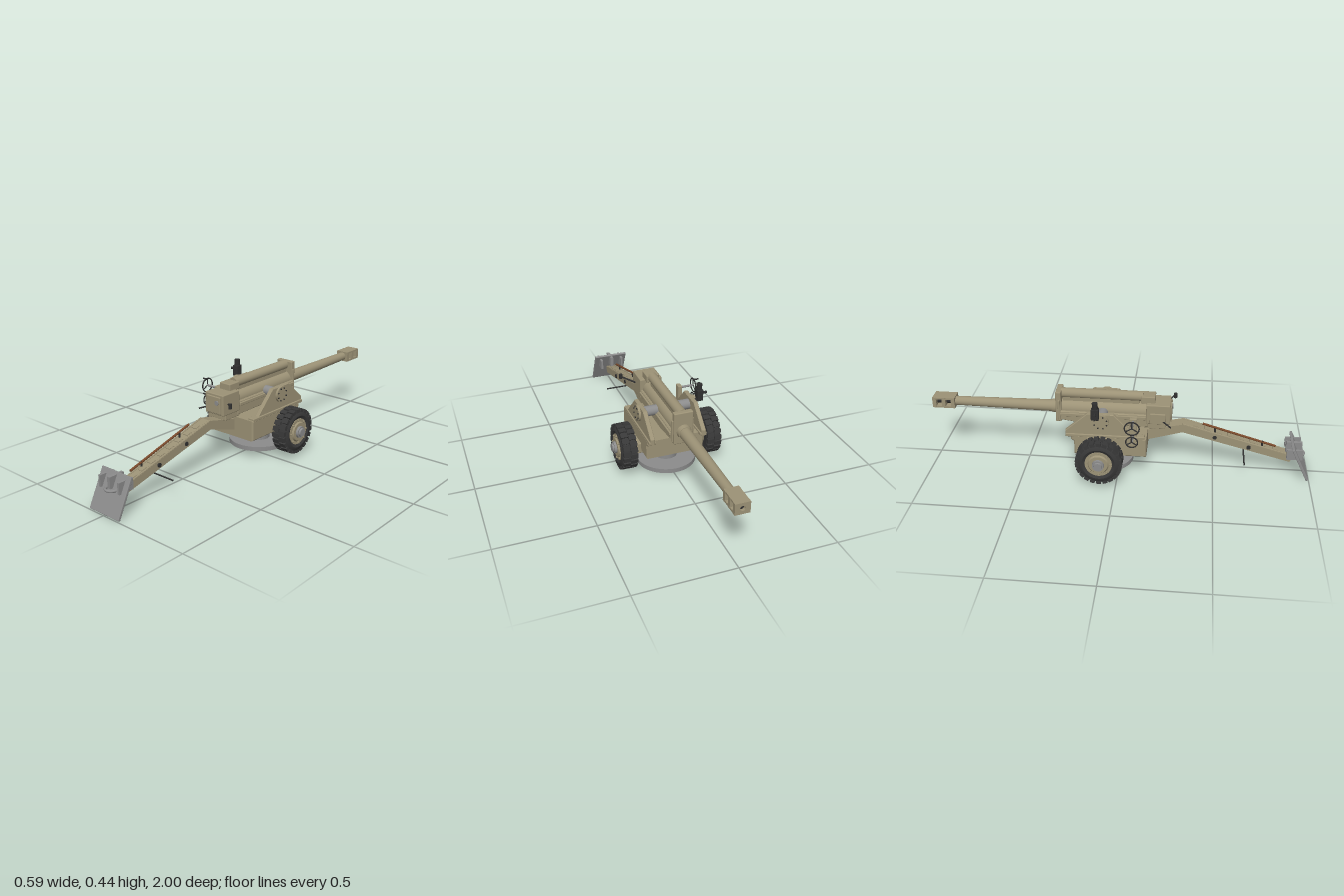
import * as THREE from 'three';
import { RoundedBoxGeometry } from 'three/addons/geometries/RoundedBoxGeometry.js';
import { toCreasedNormals } from 'three/addons/utils/BufferGeometryUtils.js';

const mat = (color) => new THREE.MeshStandardMaterial({ color });

export function createModel() {
  const root = new THREE.Group();
  const sand = mat(0x9c9276), steel = mat(0x8c8c8c), dark = mat(0x303030);
  const rubber = mat(0x383838), wood = mat(0x7a4a2c);

  const add = (name, geo, m, parent = root, x = 0, y = 0, z = 0) => {
    const mesh = new THREE.Mesh(geo, m);
    mesh.name = name;
    mesh.position.set(x, y, z);
    parent.add(mesh);
    return mesh;
  };
  // box given by its limits on each axis
  const box = (name, m, [x0, x1], [y0, y1], [z0, z1], r = 0, parent = root) => {
    const s = [x1 - x0, y1 - y0, z1 - z0];
    const geo = r ? new RoundedBoxGeometry(...s, 2, r) : new THREE.BoxGeometry(...s);
    return add(name, geo, m, parent, (x0 + x1) / 2, (y0 + y1) / 2, (z0 + z1) / 2);
  };
  // round bar from a to b
  const rod = (name, m, a, b, r0, r1 = r0, parent = root, sides = 24) => {
    const p = new THREE.Vector3(...a), q = new THREE.Vector3(...b);
    const mesh = add(name, new THREE.CylinderGeometry(r1, r0, p.distanceTo(q), sides), m, parent);
    mesh.position.copy(p).add(q).multiplyScalar(0.5);
    mesh.quaternion.setFromUnitVectors(new THREE.Vector3(0, 1, 0), q.sub(p).normalize());
    return mesh;
  };
  // side outline of [z, y] points, given a width along x
  const side = (pts, width, bevel = 0) => {
    const shape = new THREE.Shape(pts.map(([z, y]) => new THREE.Vector2(z, y)));
    const geo = new THREE.ExtrudeGeometry(shape, {
      depth: width - 2 * bevel, bevelEnabled: bevel > 0, bevelSize: bevel, bevelOffset: -bevel,
      bevelThickness: bevel, bevelSegments: 1,
    });
    return geo.translate(0, 0, -width / 2 + bevel).rotateY(-Math.PI / 2);
  };

  const axisZ = -0.085, boreY = 0.326;

  // Base platform and carriage body
  rod('basePlate', steel, [0, 0.026, axisZ], [0, 0.05, axisZ], 0.158, 0.158, root, 48);
  rod('basePivot', steel, [0, 0.05, axisZ], [0, 0.14, axisZ], 0.06);
  add('carriageBody', side([[0.15, 0.13], [0.15, 0.24], [-0.24, 0.24], [-0.24, 0.215], [-0.225, 0.205],
    [-0.225, 0.13]], 0.31, 0.006), sand);
  box('axleBeam', sand, [-0.178, 0.178], [0.115, 0.175], [-0.14, -0.03], 0.006);
  rod('axle', steel, [-0.25, 0.146, axisZ], [0.25, 0.146, axisZ], 0.02);

  // Cheeks with trunnion caps, mirrored
  for (const s of [1, -1]) {
    add('cheek', side([[0.11, 0.235], [-0.02, 0.368], [-0.155, 0.368], [-0.27, 0.265], [-0.27, 0.235]],
      0.023, 0.003), sand, root, s * 0.137);
    box('cheekFoot', sand, [s * 0.137 - 0.018, s * 0.137 + 0.018], [0.232, 0.25], [-0.268, 0.14], 0.004);
    rod('trunnionCap', sand, [s * 0.14, boreY, axisZ], [s * 0.16, boreY, axisZ], 0.043, 0.043, root, 32);
    rod('trunnion', steel, [s * 0.05, boreY, axisZ], [s * 0.14, boreY, axisZ], 0.027);
    for (let i = 0; i < 8; i++) {
      const a = (i + 0.5) * Math.PI / 4, y = boreY + 0.034 * Math.sin(a), z = axisZ + 0.034 * Math.cos(a);
      rod('trunnionBolt', dark, [s * 0.158, y, z], [s * 0.164, y, z], 0.004, 0.004, root, 6);
    }
  }

  // Wheels: tyre, two staggered rows of lugs, rim and hub
  const tyreProfile = [[0.06, 0.195], [0.1, 0.19], [0.113, 0.198], [0.114, 0.226], [0.109, 0.228], [0.109, 0.232],
    [0.114, 0.234], [0.113, 0.258], [0.1, 0.27], [0.085, 0.273], [0.068, 0.264], [0.06, 0.26]];
  const tyre = toCreasedNormals(new THREE.LatheGeometry(
    tyreProfile.map(([r, x]) => new THREE.Vector2(r, x)), 48).rotateZ(-Math.PI / 2), 0.6);
  for (const s of [1, -1]) {
    const wheel = new THREE.Group();
    wheel.name = s > 0 ? 'leftWheel' : 'rightWheel';
    wheel.position.set(0, 0.146, axisZ);
    wheel.rotation.y = s > 0 ? 0 : Math.PI;
    root.add(wheel);
    add('tyre', tyre, rubber, wheel);
    for (let i = 0; i < 44; i++) {
      const a = i * Math.PI / 22;
      const lug = add('treadLug', new THREE.BoxGeometry(0.037, 0.026, 0.024), rubber, wheel,
        i % 2 ? 0.21 : 0.249, 0.1075 * Math.cos(a), 0.1075 * Math.sin(a));
      lug.rotation.x = a;
    }
    rod('rim', sand, [0.2, 0, 0], [0.268, 0, 0], 0.07, 0.07, wheel, 40);
    rod('rimFace', sand, [0.265, 0, 0], [0.276, 0, 0], 0.056, 0.048, wheel, 40);
    rod('hub', steel, [0.27, 0, 0], [0.288, 0, 0], 0.032, 0.03, wheel);
    rod('hubCap', steel, [0.285, 0, 0], [0.297, 0, 0], 0.024, 0.021, wheel, 12);
    for (let i = 0; i < 8; i++) {
      const a = i * Math.PI / 4, y = 0.062 * Math.sin(a), z = 0.062 * Math.cos(a);
      rod('wheelNut', sand, [0.266, y, z], [0.275, y, z], 0.006, 0.006, wheel, 6);
    }
  }

  // Cradle, recuperator and front collar
  add('cradle', side([[0.15, 0.255], [0.15, 0.325], [-0.31, 0.325], [-0.31, 0.275], [-0.17, 0.255]],
    0.116, 0.004), sand);
  for (const s of [1, -1]) box('cradleRail', sand, [s * 0.06 - 0.007, s * 0.06 + 0.007], [0.3, 0.318], [-0.31, 0.14], 0.003);
  rod('barrelSleeve', sand, [0, boreY, 0.16], [0, boreY, -0.31], 0.046, 0.046, root, 32);
  rod('recuperator', sand, [0, 0.407, 0.12], [0, 0.407, -0.31], 0.026, 0.026, root, 32);
  box('recuperatorSaddle', sand, [-0.018, 0.018], [0.36, 0.395], [-0.3, 0.1]);
  box('frontCollar', sand, [-0.05, 0.05], [0.257, 0.429], [-0.335, -0.305], 0.005);
  box('collarFlange', sand, [-0.058, 0.058], [0.265, 0.385], [-0.322, -0.31], 0.003);
  box('recuperatorBlock', sand, [-0.035, 0.035], [0.38, 0.42], [0.11, 0.185], 0.005);

  // Breech block with door, knob and operating levers
  box('breech', sand, [-0.061, 0.061], [0.276, 0.386], [0.14, 0.265], 0.005);
  box('breechUnderside', sand, [-0.053, 0.053], [0.245, 0.28], [0.13, 0.24], 0.004);
  box('breechDoor', sand, [-0.046, 0.046], [0.284, 0.374], [0.26, 0.272], 0.004);
  box('breechSideBlock', sand, [-0.07, -0.055], [0.282, 0.34], [0.16, 0.24], 0.003);
  rod('breechKnob', steel, [0.025, 0.343, 0.268], [0.025, 0.343, 0.277], 0.012);
  rod('breechLever', dark, [0.055, 0.331, 0.22], [0.125, 0.353, 0.28], 0.005, 0.004);
  rod('leverHandle', dark, [0.125, 0.34, 0.284], [0.125, 0.366, 0.284], 0.009, 0.009, root, 12);
  rod('firingLever', dark, [-0.058, 0.3, 0.22], [-0.103, 0.285, 0.27], 0.004, 0.004);

  // Barrel and slotted muzzle brake
  rod('barrel', sand, [0, boreY, -0.3], [0, boreY, -0.89], 0.032, 0.024, root, 32);
  rod('barrelRing', sand, [0, boreY, -0.33], [0, boreY, -0.36], 0.038, 0.034, root, 32);
  const brake = new THREE.Group();
  brake.name = 'muzzleBrake';
  brake.position.y = boreY;
  root.add(brake);
  const slab = new THREE.Shape([[-1, -1], [1, -1], [1, 1], [-1, 1]].map(([x, y]) => new THREE.Vector2(x * 0.037, y * 0.029)));
  slab.holes.push(new THREE.Path().absarc(0, 0, 0.013, 0, Math.PI * 2, true));
  const slabGeo = new THREE.ExtrudeGeometry(slab, { depth: 0.02, bevelEnabled: false, curveSegments: 16 });
  for (const z of [-1, -0.95, -0.9]) add('baffle', slabGeo, sand, brake, 0, 0, z);
  for (const s of [1, -1]) {
    box('brakePlate', sand, [-0.036, 0.036], [s * 0.024 - 0.005, s * 0.024 + 0.005], [-0.998, -0.882], 0, brake);
  }
  rod('brakeCore', dark, [0, 0, -0.9], [0, 0, -0.985], 0.016, 0.016, brake);

  // Trail: bent beam narrowing to the rear
  const trailGeo = side([[0.9, 0.07], [0.915, 0.106], [0.33, 0.268], [0.14, 0.225], [0.14, 0.165], [0.33, 0.222]], 0.07);
  const p = trailGeo.attributes.position;
  for (let i = 0; i < p.count; i++) if (p.getZ(i) > 0.5) p.setX(i, p.getX(i) * 0.78);
  trailGeo.computeVertexNormals();
  add('trail', trailGeo, sand);
  const trailTop = (z) => 0.268 - (z - 0.33) * 0.277;
  for (const s of [1, -1]) {
    rod('trailEdge', sand, [s * 0.029, trailTop(0.33), 0.33], [s * 0.022, trailTop(0.9), 0.9], 0.005, 0.005, root, 8);
    for (const z of [0.5, 0.68]) {
      rod('trailPin', dark, [s * 0.02, trailTop(z) - 0.022, z], [s * 0.037, trailTop(z) - 0.022, z], 0.011, 0.011, root, 12);
    }
  }
  for (let z = 0.4; z < 0.88; z += 0.06) {
    const slat = add('trailPlate', new THREE.BoxGeometry(0.03, 0.006, 0.03), sand, root, 0, trailTop(z), z);
    slat.rotation.x = 0.27;
  }
  // Stowed handspike, its clips and the cross bar
  rod('handspike', wood, [-0.013, 0.155, 0.82], [-0.013, 0.268, 0.435], 0.006, 0.006, root, 12);
  for (const z of [0.5, 0.75]) rod('handspikeClip', dark, [-0.013, trailTop(z) - 0.01, z], [-0.013, trailTop(z) + 0.03, z], 0.005, 0.005, root, 8);
  rod('crossBar', dark, [-0.1, 0.083, 0.66], [0.1, 0.083, 0.66], 0.004, 0.004, root, 10);

  // Spade with ribs and carrying handle
  const spade = add('spade', new RoundedBoxGeometry(0.198, 0.202, 0.014, 2, 0.003), steel, root, 0, 0.095, 0.948);
  spade.rotation.x = -0.46;
  for (const x of [-0.064, 0, 0.064]) {
    const w = x ? 0.006 : 0.009, up = x ? 0 : 0.01;
    box('spadeRib', steel, [x - w, x + w], [0.11 + up, 0.168 + up], [0.875, 0.958]);
  }
  add('spadeHandle', new THREE.TorusGeometry(0.03, 0.007, 10, 20, Math.PI).rotateX(Math.PI / 2), steel, root, 0, 0.115, 0.942);

  // Laying handwheels on the right-hand side
  for (const [y, r, inner] of [[0.337, 0.04, -0.13], [0.258, 0.033, -0.1]]) {
    const hand = new THREE.Group();
    hand.name = 'handwheel';
    hand.position.set(-0.22, y, 0.08);
    root.add(hand);
    add('handwheelRim', new THREE.TorusGeometry(r - 0.003, 0.0035, 8, 32).rotateY(Math.PI / 2), dark, hand);
    for (let i = 0; i < 3; i++) {
      const a = Math.PI / 2 + i * Math.PI * 2 / 3;
      rod('spoke', dark, [0, 0, 0], [0, (r - 0.003) * Math.sin(a), (r - 0.003) * Math.cos(a)], 0.003, 0.003, hand, 8);
    }
    rod('crankHandle', dark, [0, r - 0.008, 0], [-0.03, r - 0.008, 0], 0.004, 0.004, hand, 10);
    rod('handwheelShaft', steel, [0, 0, 0], [inner + 0.22, 0, 0], 0.006, 0.006, hand, 12);
  }
  box('handwheelGearbox', sand, [-0.15, -0.127], [0.24, 0.352], [0.06, 0.1], 0.004);

  // Sight on the right-hand cheek
  box('sightBody', dark, [-0.19, -0.158], [0.354, 0.415], [-0.13, -0.09], 0.004);
  rod('sightHead', dark, [-0.174, 0.41, -0.11], [-0.174, 0.447, -0.11], 0.015, 0.015, root, 12);
  rod('sightEyepiece', dark, [-0.185, 0.391, -0.11], [-0.215, 0.391, -0.11], 0.007, 0.007, root, 12);
  rod('sightBracket', dark, [-0.14, 0.352, -0.11], [-0.175, 0.36, -0.11], 0.009, 0.009, root, 10);
  return root;
}
